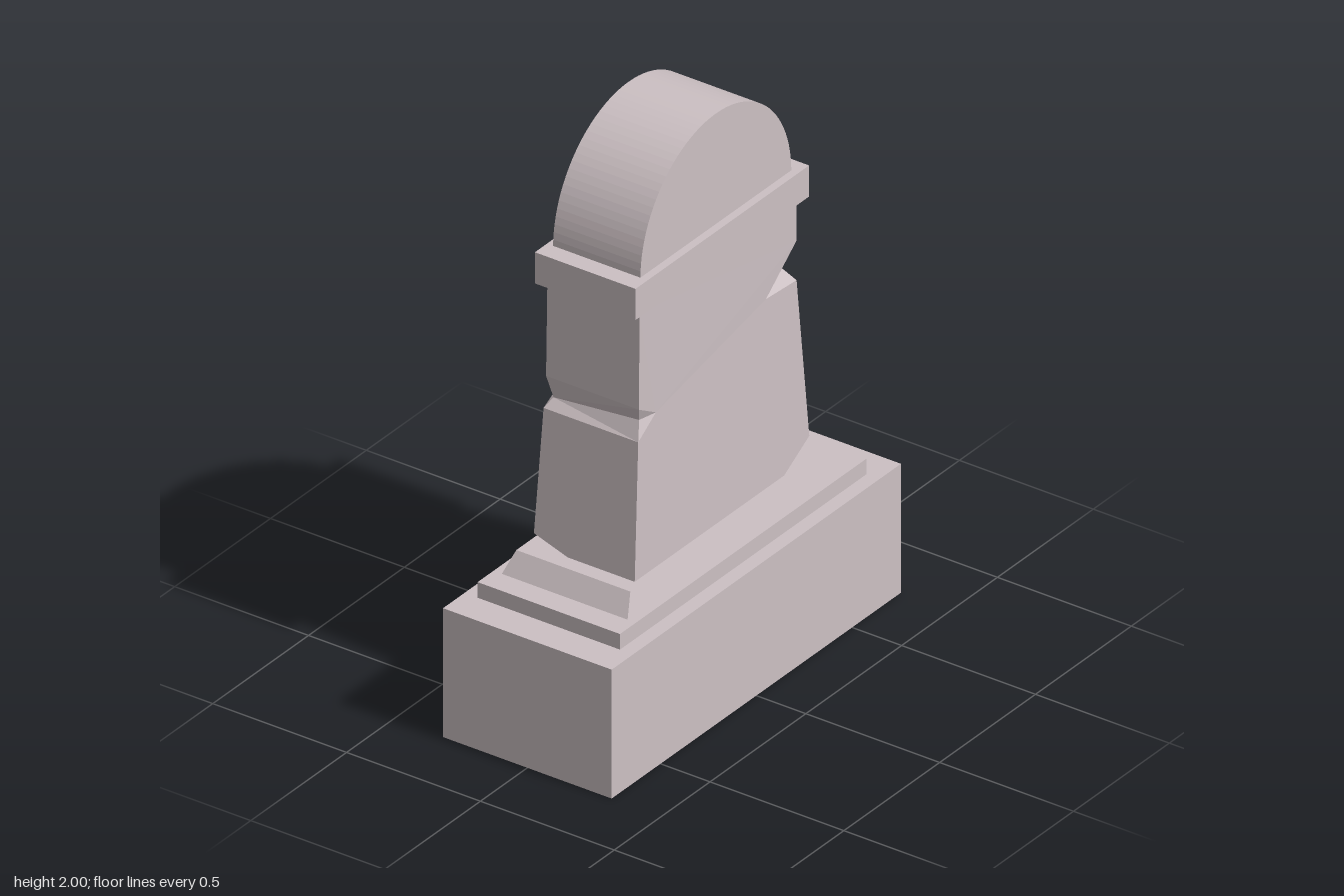
import * as THREE from 'three';

const stone = new THREE.MeshStandardMaterial({ color: 0xccc0c3, flatShading: true });

// Box between two heights, with an optional narrower top.
function block(name, hx, hz, y0, y1, topX = hx, topZ = hz) {
  const g = new THREE.BoxGeometry(2 * hx, y1 - y0, 2 * hz);
  const p = g.attributes.position;
  for (let i = 0; i < p.count; i++) {
    if (p.getY(i) > 0) {
      p.setX(i, Math.sign(p.getX(i)) * topX);
      p.setZ(i, Math.sign(p.getZ(i)) * topZ);
    }
  }
  g.translate(0, (y0 + y1) / 2, 0);
  g.computeVertexNormals();
  const mesh = new THREE.Mesh(g, stone);
  mesh.name = name;
  return mesh;
}

// Tapered shaft: half sizes at a height.
const Y0 = 0.58, Y1 = 1.5;
const taper = (y) => Math.max(0, 1.22 - y) / 0.64;
const halfX = (y) => 0.172 + 0.018 * taper(y);
const halfZ = (y) => 0.41 + 0.05 * taper(y);

// Broken corners, lowest first: a = [inset, y] on the wide face, b on the narrow one.
const chips = [
  { sx: 1, sz: -1, bottom: Y0, top: 0.655, a: [0.14, Y0], b: [0.12, Y0] },
  { sx: -1, sz: 1, bottom: Y0, top: 0.62, a: [0.1, Y0], b: [0.13, Y0] },
  { sx: -1, sz: -1, bottom: 1.05, top: 1.14, a: [0.16, 1.12], b: [0.12, 1.07] },
  { sx: 1, sz: -1, bottom: 1.22, top: 1.36, a: [0.16, 1.23], b: [0.14, 1.28] },
  // ends of the crack across the front
  { sx: 1, sz: 1, bottom: 1.05, top: 1.16, a: [0.09, 1.11], groove: true },
  { sx: -1, sz: 1, bottom: 1.05, top: 1.16, a: [0.05, 1.08], groove: true },
];

function shaft() {
  const pos = [];
  const V = (x, y, z) => new THREE.Vector3(x, y, z);

  // Add a triangle turned towards the given direction.
  function tri(a, b, c, out) {
    const n = b.clone().sub(a).cross(c.clone().sub(a));
    for (const p of n.dot(out) > 0 ? [a, b, c] : [a, c, b]) pos.push(p.x, p.y, p.z);
  }
  const onX = (sx, sz, inset, y) => V(sx * halfX(y), y, sz * (halfZ(y) - inset));
  const onZ = (sx, sz, inset, y) => V(sx * (halfX(y) - inset), y, sz * halfZ(y));

  // Edge of a face, upwards, with the bites of the chips.
  function edge(sx, sz, wide, y0, y1) {
    const at = wide ? onX : onZ;
    const pts = [];
    const list = chips.filter((c) => c.sx === sx && c.sz === sz && (wide || !c.groove)
      && c.bottom >= y0 && c.top <= y1).sort((p, q) => p.bottom - q.bottom);
    if (!list.length || list[0].bottom > y0) pts.push(at(sx, sz, 0, y0));
    for (const c of list) {
      if (c.bottom > y0) pts.push(at(sx, sz, 0, c.bottom));
      pts.push(at(sx, sz, ...(wide ? c.a : c.b)), at(sx, sz, 0, c.top));
    }
    pts.push(at(sx, sz, 0, y1));
    return pts;
  }
  function face(wide, s, y0 = Y0, y1 = Y1) {
    const e = (k) => (wide ? edge(s, k, true, y0, y1) : edge(k, s, false, y0, y1));
    const pts = [...e(1), ...e(-1).reverse()];
    const flat = pts.map((p) => new THREE.Vector2(wide ? p.z : p.x, p.y));
    const out = wide ? V(s, 0, 0) : V(0, 0, s);
    for (const [i, j, k] of THREE.ShapeUtils.triangulateShape(flat, [])) tri(pts[i], pts[j], pts[k], out);
  }
  face(true, 1);
  face(true, -1);
  face(false, -1);
  face(false, 1, Y0, 1.05);
  face(false, 1, 1.16, Y1);

  // Chip facets
  for (const c of chips) {
    if (c.groove) continue;
    const out = V(c.sx, 0, c.sz);
    const a = onX(c.sx, c.sz, ...c.a), b = onZ(c.sx, c.sz, ...c.b);
    tri(onX(c.sx, c.sz, 0, c.top), a, b, out);
    if (c.bottom > Y0) tri(onX(c.sx, c.sz, 0, c.bottom), a, b, out);
  }

  // Crack across the front
  const ends = chips.filter((c) => c.groove).map((c) => ({
    out: V(c.sx, 0, 1),
    up: onX(c.sx, 1, 0, c.top),
    low: onX(c.sx, 1, 0, c.bottom),
    side: onX(c.sx, 1, ...c.a),
    deep: V(c.sx * 0.16, c.a[1], 0.395),
  }));
  const [r, l] = ends, front = V(0, 0, 1);
  for (const k of ['up', 'low']) {
    tri(r[k], r.deep, l.deep, front);
    tri(r[k], l.deep, l[k], front);
    for (const e of ends) tri(e[k], e.side, e.deep, e.out);
  }

  const g = new THREE.BufferGeometry();
  g.setAttribute('position', new THREE.Float32BufferAttribute(pos, 3));
  g.computeVertexNormals();
  const mesh = new THREE.Mesh(g, stone);
  mesh.name = 'chippedShaft';
  return mesh;
}

// Half-round head
function head() {
  const s = new THREE.Shape();
  s.absarc(0, 0, 0.394, 0, Math.PI, false);
  s.closePath();
  const g = new THREE.ExtrudeGeometry(s, { depth: 0.326, bevelEnabled: false, curveSegments: 24 });
  g.translate(0, 1.606, -0.163);
  g.rotateY(Math.PI / 2);
  const mesh = new THREE.Mesh(g, stone);
  mesh.name = 'roundedHead';
  mesh.position.set(-0.002, 0, -0.004);
  return mesh;
}

export function createModel() {
  const group = new THREE.Group();
  group.name = 'gravestone';
  group.add(
    block('base', 0.315, 0.755, 0, 0.455),
    block('step', 0.266, 0.643, 0.455, 0.51),
    block('slopedPlinth', 0.235, 0.56, 0.51, 0.58, 0.213, 0.515),
    shaft(),
    block('band', 0.188, 0.453, 1.5, 1.61),
    head(),
  );
  return group;
}
